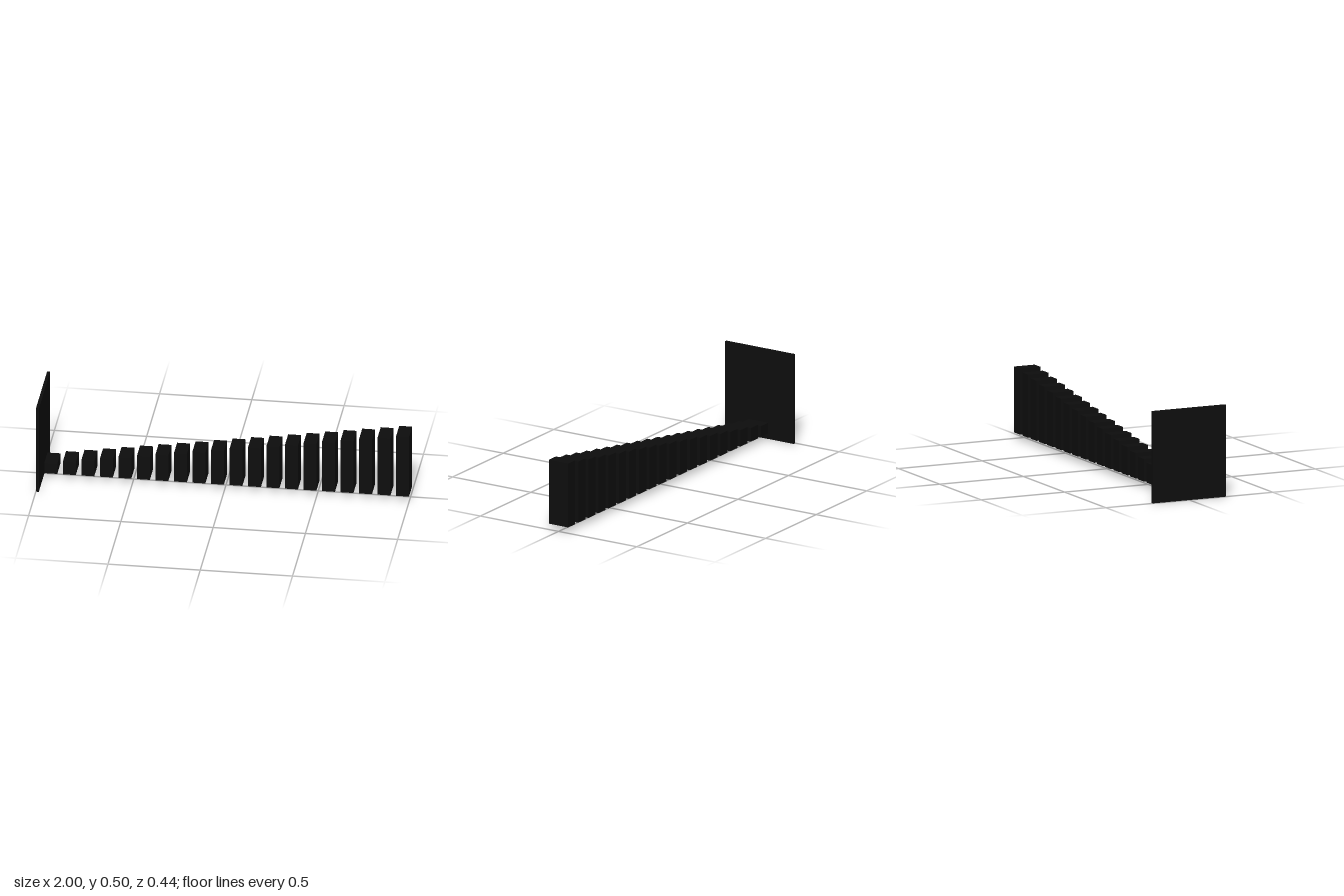
import * as THREE from 'three';

export function createModel() {
  const model = new THREE.Group();
  const material = new THREE.MeshStandardMaterial({ color: 0x0d0d0d });

  // Box placed by its x centre and its bottom edge
  function addBox(parent, name, width, height, depth, x, bottom) {
    const mesh = new THREE.Mesh(new THREE.BoxGeometry(width, height, depth), material);
    mesh.name = name;
    mesh.position.set(x, bottom + height / 2, 0);
    parent.add(mesh);
  }

  // Thin upright plate at the low end
  addBox(model, 'endPlate', 0.016, 0.502, 0.438, -0.992, 0);

  // Row of evenly spaced blocks, rising steadily towards +x
  const blocks = new THREE.Group();
  blocks.name = 'blockRow';
  model.add(blocks);
  const count = 20;
  for (let i = 0; i < count; i++) {
    const t = i / (count - 1);
    const height = THREE.MathUtils.lerp(0.061, 0.36, t);
    const x = THREE.MathUtils.lerp(-0.941, 0.965, t);
    addBox(blocks, `block${i + 1}`, 0.07, height, 0.123, x, 0.033);
  }
  return model;
}
